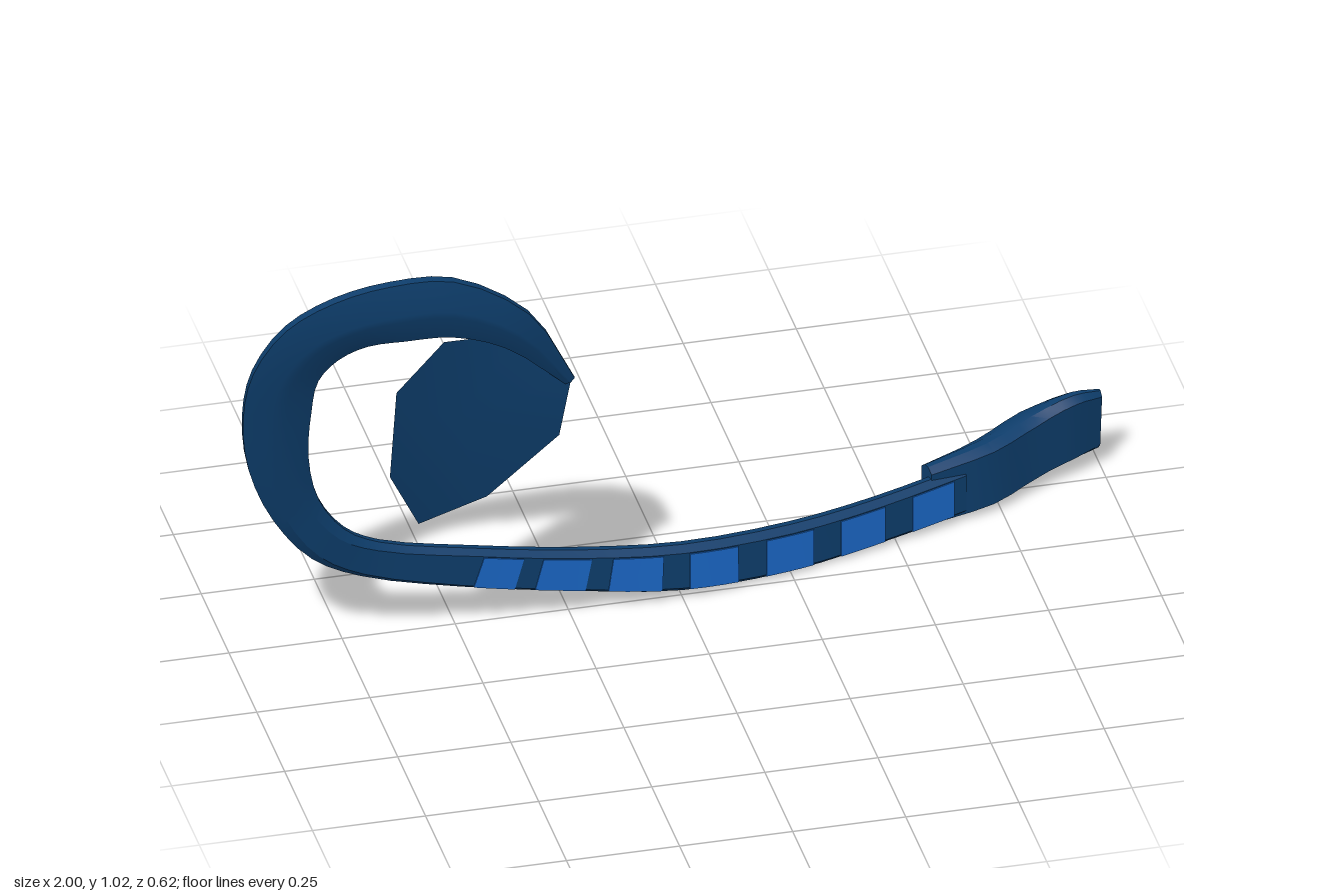
import * as THREE from 'three';
import { toCreasedNormals } from 'three/addons/utils/BufferGeometryUtils.js';

const NAVY = 0x0d3d6b, BLUE = 0x1a66c4;

// Each station: lower/outer edge xyz, upper/inner edge xyz, thickness, chamfer
const STRAP = [
  [0.66, 0.018, -0.165, 0.66, 0.133, -0.165, 0.04, 0.12],
  [0.45, 0.008, -0.1, 0.45, 0.122, -0.1, 0.042, 0.12],
  [0.25, 0.005, -0.045, 0.25, 0.122, -0.045, 0.045, 0.12],
  [0, 0.022, 0.003, 0, 0.137, 0.003, 0.045, 0.12],
  [-0.25, 0.065, 0.016, -0.23, 0.167, 0.02, 0.042, 0.12],
  [-0.5, 0.12, 0.029, -0.47, 0.215, 0.034, 0.04, 0.12],
  [-0.72, 0.185, 0.04, -0.68, 0.268, 0.046, 0.038, 0.15],
  [-0.83, 0.25, 0.05, -0.76, 0.32, 0.06, 0.038, 0.2],
  [-0.92, 0.37, 0.067, -0.82, 0.41, 0.073, 0.038, 0.25],
  [-0.98, 0.52, 0.092, -0.85, 0.54, 0.1, 0.04, 0.3],
  [-1.0, 0.67, 0.122, -0.85, 0.67, 0.126, 0.044, 0.38],
  [-0.985, 0.8, 0.152, -0.84, 0.76, 0.148, 0.048, 0.42],
  [-0.92, 0.92, 0.185, -0.8, 0.82, 0.168, 0.054, 0.44],
  [-0.82, 0.99, 0.21, -0.74, 0.855, 0.185, 0.058, 0.45],
  [-0.7, 1.022, 0.224, -0.66, 0.865, 0.2, 0.058, 0.45],
  [-0.56, 1.015, 0.226, -0.56, 0.865, 0.208, 0.058, 0.45],
  [-0.39, 0.9, 0.212, -0.44, 0.815, 0.2, 0.05, 0.45],
  [-0.28, 0.7, 0.178, -0.3, 0.685, 0.174, 0.015, 0.45],
];
const TIP = [
  [0.995, 0.05, -0.305, 0.995, 0.205, -0.285, 0.022, 0.08],
  [0.93, 0.043, -0.285, 0.93, 0.213, -0.27, 0.045, 0.08],
  [0.83, 0.03, -0.255, 0.83, 0.187, -0.252, 0.068, 0.08],
  [0.72, 0.015, -0.195, 0.72, 0.17, -0.195, 0.065, 0.08],
  [0.58, 0.005, -0.155, 0.58, 0.152, -0.155, 0.045, 0.08],
];

// Smooth interpolation of a station table into a local frame
function sampler(table) {
  const curve = (k) => new THREE.CatmullRomCurve3(
    table.map((s) => new THREE.Vector3(s[k], s[k + 1], s[k + 2])));
  const outer = curve(0), inner = curve(3), n = table.length - 1;
  return (t) => {
    const o = outer.getPoint(t), w = inner.getPoint(t).sub(o);
    const along = outer.getTangent(t).add(inner.getTangent(t));
    const front = w.clone().cross(along).normalize();
    const i = Math.min(Math.floor(t * n), n - 1), f = t * n - i;
    const mix = (k) => THREE.MathUtils.lerp(table[i][k], table[i + 1][k], f);
    const thick = mix(6);
    return {
      thick, chamfer: mix(7),
      at: (u, v) => o.clone().addScaledVector(w, u).addScaledVector(front, v * thick / 2),
    };
  };
}

// Skin a list of closed rings and cap both ends
function skin(rings, crease) {
  const n = rings[0].length, pos = rings.flat().flatMap((p) => p.toArray()), index = [];
  for (let r = 0; r < rings.length - 1; r++) {
    for (let j = 0; j < n; j++) {
      const a = r * n + j, c = r * n + (j + 1) % n, b = a + n, d = c + n;
      index.push(a, b, c, b, d, c);
    }
  }
  const last = (rings.length - 1) * n;
  for (let j = 1; j < n - 1; j++) {
    index.push(0, j, j + 1, last, last + j + 1, last + j);
  }
  const g = new THREE.BufferGeometry();
  g.setAttribute('position', new THREE.Float32BufferAttribute(pos, 3));
  g.setIndex(index);
  return toCreasedNormals(g, crease);
}

// Chamfered band through all stations
function band(table, steps) {
  const sample = sampler(table), rings = [];
  for (let k = 0; k <= steps; k++) {
    const { at, chamfer: c } = sample(k / steps);
    rings.push([[1, -0.3], [1, 0.3], [1 - c, 1], [c, 1], [0, 0.3], [0, -0.3], [c, -1], [1 - c, -1]]
      .map(([u, v]) => at(u, v)));
  }
  return skin(rings, 0.5);
}

export function createModel() {
  const group = new THREE.Group();
  const add = (name, geometry, color, side = THREE.FrontSide) => {
    const mesh = new THREE.Mesh(geometry, new THREE.MeshStandardMaterial({ color, side }));
    mesh.name = name;
    group.add(mesh);
  };

  add('strap', band(STRAP, 51), NAVY);
  add('endClasp', band(TIP, 12), NAVY);

  // Bright inlays on the front of the strap
  const sample = sampler(STRAP);
  const findT = (x) => { // the straight run falls steadily in x
    let lo = 0, hi = 0.4;
    for (let k = 0; k < 30; k++) {
      const mid = (lo + hi) / 2;
      if (sample(mid).at(0.5, 0).x > x) lo = mid; else hi = mid;
    }
    return lo;
  };
  [[-0.46, -0.37], [-0.325, -0.215], [-0.165, -0.05], [0.01, 0.12], [0.185, 0.295], [0.36, 0.465], [0.53, 0.63]]
    .forEach(([x0, x1], i) => {
      const t0 = findT(x1), t1 = findT(x0), rings = [];
      for (let k = 0; k <= 3; k++) {
        const { at } = sample(t0 + (t1 - t0) * k / 3);
        rings.push([[0.86, 0.8], [0.86, 1.12], [0.1, 1.12], [0.1, 0.8]].map(([u, v]) => at(u, v)));
      }
      add(`inlay${i + 1}`, skin(rings, 0.5), BLUE);
    });

  // Thin creased paddle hanging inside the curl
  const rim = [
    [-0.72, 0.59, 0.308], [-0.64, 0.42, 0.24], [-0.47, 0.42, 0.165], [-0.31, 0.55, 0.163],
    [-0.285, 0.7, 0.173], [-0.4, 0.83, 0.18], [-0.58, 0.86, 0.225], [-0.7, 0.785, 0.285],
  ];
  const hub = [-0.55, 0.64, 0.208];
  const sheet = new THREE.BufferGeometry();
  sheet.setAttribute('position', new THREE.Float32BufferAttribute(
    rim.flatMap((p, i) => [...hub, ...p, ...rim[(i + 1) % rim.length]]), 3));
  add('paddle', toCreasedNormals(sheet, 0.6), NAVY, THREE.DoubleSide);

  return group;
}
